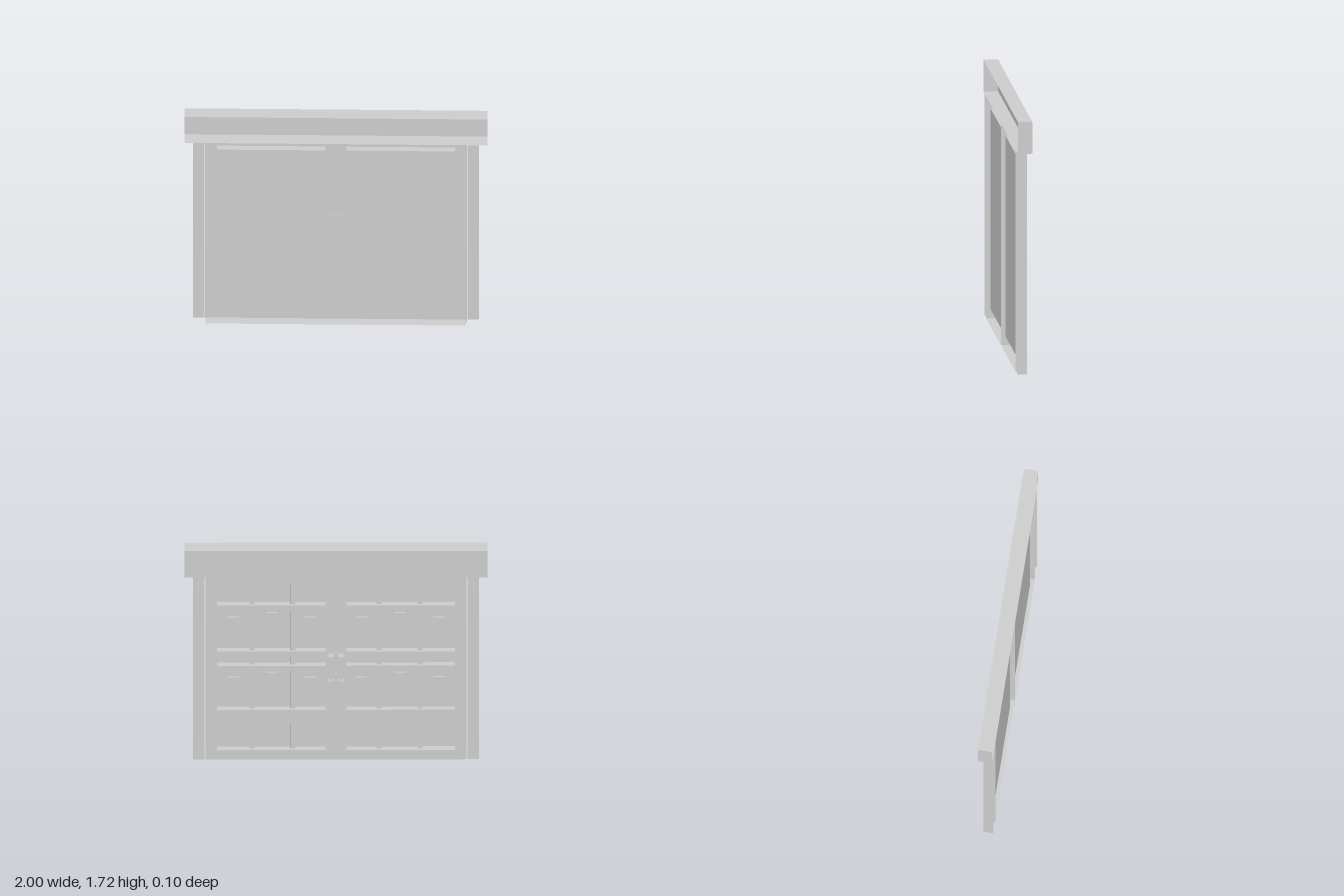
import * as THREE from 'three';

const material = new THREE.MeshStandardMaterial({ color: 0xcccccc, side: THREE.DoubleSide, flatShading: true });

// depths shared by the parts (front, frame back, panel plate)
const FRONT = 0.052, BACK = -0.013, PLATE = 0.03;
const SIDES = ['+x', '-x', '+y', '-y', '+z', '-z'];

function add(group, name, geometry) {
  const mesh = new THREE.Mesh(geometry, material);
  mesh.name = name;
  group.add(mesh);
  return mesh;
}

// box given by its limits, with the listed sides left open
function shell([x0, x1], [y0, y1], [z0, z1], open = []) {
  const geo = new THREE.BoxGeometry(x1 - x0, y1 - y0, z1 - z0);
  geo.translate((x0 + x1) / 2, (y0 + y1) / 2, (z0 + z1) / 2);
  const index = Array.from(geo.index.array);
  geo.setIndex(index.filter((_, i) => !open.includes(SIDES[Math.floor(i / 6)])));
  geo.clearGroups();
  return geo;
}

function rectangle(path, x0, x1, y0, y1) {
  path.moveTo(x0, y0).lineTo(x1, y0).lineTo(x1, y1).lineTo(x0, y1).closePath();
  return path;
}

// eight-sided medallion with chamfered corners
function medallion(x, y, w, h) {
  const cx = w * 0.48, cy = h * 0.48;
  const points = [[w, cy], [cx, h], [-cx, h], [-w, cy], [-w, -cy], [-cx, -h], [cx, -h], [w, -cy]];
  const shape = new THREE.Shape(points.map(([a, b]) => new THREE.Vector2(a, b)));
  const geo = new THREE.ExtrudeGeometry(shape, { depth: 0.011, bevelEnabled: false });
  return geo.translate(x, y, PLATE - 0.012);
}

// pull handle: back plate, two mounts and an upright grip
function makeHandle() {
  const handle = new THREE.Group();
  handle.name = 'handle';
  add(handle, 'handlePlate', shell([0.015, 0.052], [0.635, 0.865], [BACK - 0.002, BACK + 0.004]));
  for (const y of [0.65, 0.852]) {
    add(handle, 'handleMount', shell([0.018, 0.05], [y - 0.009, y + 0.009], [-0.052, BACK]));
  }
  add(handle, 'handleGrip', shell([0.028, 0.041], [0.65, 0.852], [-0.042, -0.03]));
  return handle;
}

// door leaf on the +x side
function makeLeaf() {
  const leaf = new THREE.Group();
  const px = [0.07, 0.785], py = [0.075, 1.43];

  // frame: back face with the panel opening, and its outer edges
  const face = rectangle(new THREE.Shape(), 0, 0.86, 0, 1.5);
  face.holes.push(rectangle(new THREE.Path(), ...px, ...py));
  const faceGeo = new THREE.ShapeGeometry(face);
  faceGeo.translate(0, 0, BACK);
  add(leaf, 'leafFace', faceGeo);
  add(leaf, 'leafEdges', shell([0, 0.86], [0, 1.5], [BACK, FRONT], ['+z', '-z']));

  // sunken panel, open towards the back
  add(leaf, 'panel', shell(px, py, [BACK, PLATE], ['-z']));

  // grid of bars in the panel
  for (const x of [0.285, 0.555]) {
    add(leaf, 'uprightBar', shell([x - 0.017, x + 0.017], py, [0.005, PLATE], ['+z', '+y', '-y']));
  }
  for (const [y0, y1] of [[1.205, 1.248], [0.83, 0.873], [0.715, 0.758], [0.285, 0.4]]) {
    add(leaf, 'crossBar', shell(px, [y0, y1], [-0.009, PLATE], ['+z', '+x', '-x']));
  }

  // two rows of medallions, the middle one taller
  for (const y of [1.04, 0.555]) {
    for (const [x, h] of [[0.168, 0.09], [0.425, 0.128], [0.683, 0.09]]) {
      add(leaf, 'medallion', medallion(x, y, 0.08, h));
    }
  }
  leaf.add(makeHandle());
  return leaf;
}

export function createModel() {
  const model = new THREE.Group();
  model.name = 'doubleDoor';

  add(model, 'lintel', shell([-1, 1], [1.5, 1.715], [-0.043, FRONT], ['+z']));

  for (const [side, s] of [['left', 1], ['right', -1]]) {
    const half = new THREE.Group();
    half.name = side + 'Half';
    add(half, side + 'Jamb', shell([0.868, 0.945], [0, 1.5], [BACK, FRONT], ['+z', '+y', '-y']));
    const leaf = makeLeaf();
    leaf.name = side + 'Leaf';
    half.add(leaf);
    half.scale.x = s;
    model.add(half);
  }
  return model;
}
